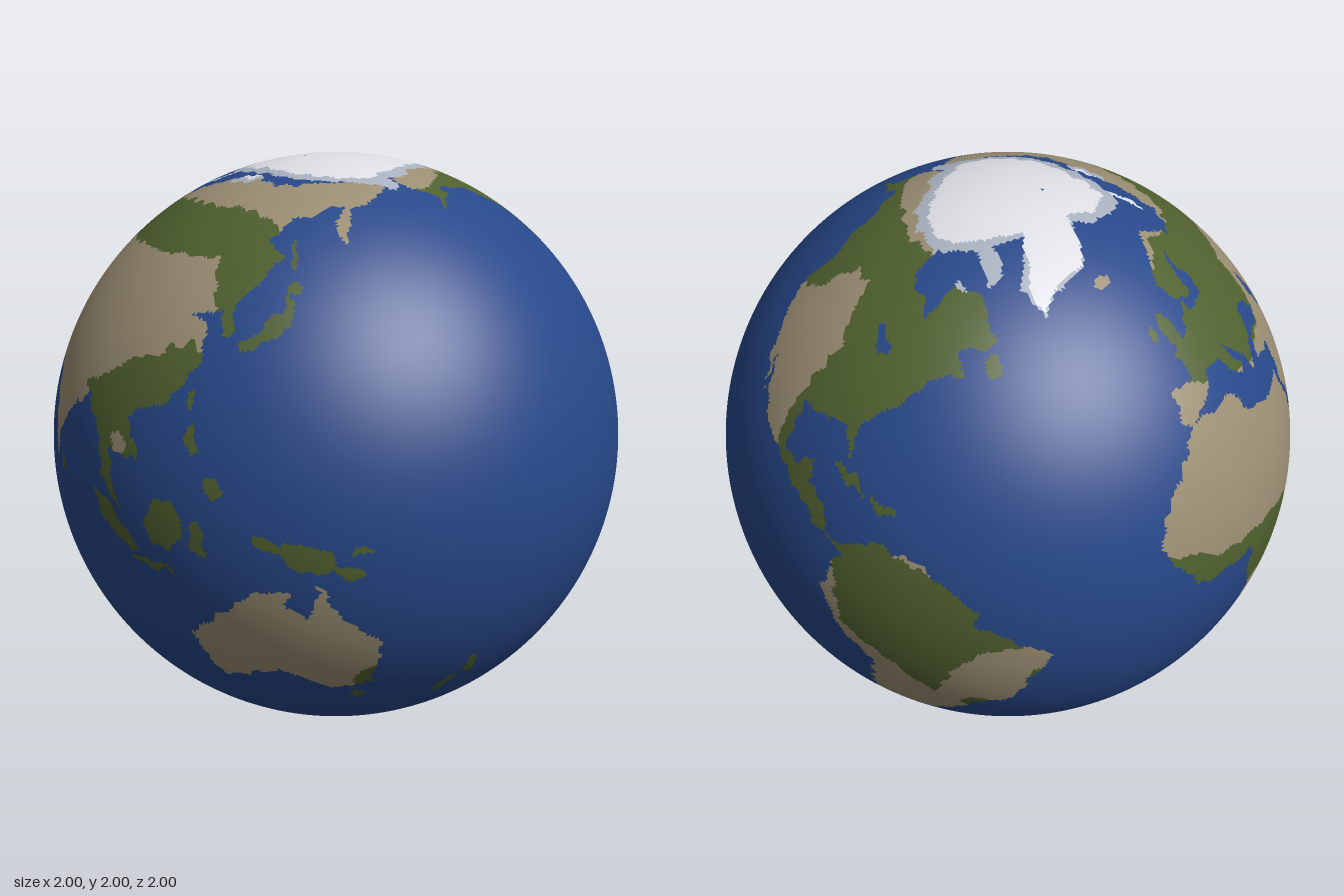
import * as THREE from 'three';

const mat = (name, color) => Object.assign(new THREE.MeshStandardMaterial({ color }), { name });
const SEA = mat('oceanBlue', 0x27488a);
const GREEN = mat('forestGreen', 0x50612f);
const TAN = mat('drylandTan', 0x9c8f74);
const WHITE = mat('iceWhite', 0xe0e2e8);
const GREY = mat('shelfIceGrey', 0xaab2c1);

// Painted in order; outlines are longitude, latitude pairs in degrees.
// A cover patch only recolours ground that is already land.
const patches = [];
const paint = (name, material, outline) => patches.push({ name, material, outline });
const cover = (name, material, outline) => patches.push({ name, material, outline, onLand: true });

// Oval outline, turned anticlockwise by some degrees
function oval(lon, lat, rx, ry, turn = 0) {
  const o = [], t = THREE.MathUtils.degToRad(turn);
  for (let i = 0; i < 16; i++) {
    const a = i * Math.PI / 8, x = rx * Math.cos(a), y = ry * Math.sin(a);
    o.push(lon + x * Math.cos(t) - y * Math.sin(t), lat + x * Math.sin(t) + y * Math.cos(t));
  }
  return o;
}

// Ring from a coast that runs west to east, closed over a pole
const polar = (coast, pole) => [...coast, 180, coast[1], 180, pole, -180, pole];

// --- Americas ---
paint('northAmerica', GREEN, [-167, 66, -156, 71, -128, 70, -95, 69, -93, 58, -82, 55, -79, 52, -77, 62, -65, 60,
  -56, 52, -66, 50, -62, 46, -70, 43, -76, 36, -81, 31, -80.5, 25, -84, 30, -97, 28, -96, 19, -91, 18.5, -88, 21.5,
  -88, 16, -83.5, 15, -82, 9, -77.5, 8.5, -78, 7, -85, 10, -95, 16, -105.5, 20.5, -113, 31, -109.5, 23, -117, 32.5,
  -124, 40, -124, 48, -135, 58, -148, 60.5, -162, 55, -158, 59, -165, 62]);
cover('westernDrylands', TAN, [-113, 20, -126, 41, -118, 43, -112, 52, -104, 52, -96, 41, -99, 28, -99, 16]);
cover('northwestTundra', TAN, [-170, 61, -130, 63.5, -92, 63, -92, 72, -170, 72]);
paint('baffinLand', GREY, [-88, 73, -68, 70, -61.5, 66, -65, 62.5, -74, 67, -88, 70]);
cover('northernSnow', GREY, [-106, 66, -79, 60, -64, 62, -64, 75, -124, 75]);
paint('greatLakes', SEA, oval(-86.5, 45.5, 4, 1.2, -30));

paint('southAmerica', TAN, [-77.5, 8.5, -72, 12, -62, 10.7, -51, 4, -50, 0, -35.3, -5.5, -39, -13.5, -41, -22,
  -48.5, -26, -57, -37.5, -65, -41, -69, -51, -66, -54.5, -74, -52, -73.5, -37, -70.3, -18.5, -76, -14, -81.3, -5, -80, 1]);
cover('amazonForest', GREEN, [-79, 3, -77, -10, -68, -15, -57, -24, -54, -14, -50, -7, -40, -3, -50, 8, -66, 10, -71, 13, -80, 13]);
cover('atlanticForest', GREEN, oval(-49, -26, 3.5, 2, 50));
cover('atlanticForest', GREEN, oval(-38, -14, 1.5, 4));
cover('southernForest', GREEN, oval(-74.5, -42, 2, 4));

// --- Africa ---
paint('africa', TAN, [-6, 35.8, 10, 37.3, 11, 33.5, 19.5, 30.5, 32, 31, 37, 21, 43, 11.7, 51, 11.8, 40, -3, 40.5, -15,
  35, -20, 32, -28, 26, -34, 19, -34.5, 12, -17.5, 13.5, -9, 9, -1, 9, 4, -8, 4.4, -17, 14.7, -16.5, 21, -10, 31]);
cover('congoForest', GREEN, [-18, 13.5, 0, 9, 20, 8, 28, 6, 31, 0, 30, -7, 8, -7, -8, 2]);
cover('highlandForest', GREEN, oval(36, 7, 1.6, 2));
paint('eastAfricanIsland', TAN, oval(46.7, -19, 2.2, 6.6, -20));
cover('eastAfricanIslandForest', GREEN, oval(48.8, -18, 1.4, 7, -20));

// --- Europe and Asia ---
paint('europe', TAN, [-9, 37, -9, 43, -1.5, 43.5, -4, 48.3, 8, 54, 10, 57.5, 11, 54.3, 20, 54.5, 24, 59.5, 22, 61,
  25, 65.5, 17.5, 61, 16, 56.5, 7, 58, 5, 61.5, 14, 67, 27, 71, 41, 67, 38, 64.5, 68, 68.5, 68, 41, 41.5, 41.5, 38, 46,
  31, 46, 28, 41.5, 23.5, 40, 22.5, 36.7, 19.5, 41.5, 13, 45.5, 18, 40, 16, 38, 10, 44, 3.5, 43, 0, 39, -5.5, 36]);
paint('asia', TAN, [60, 68, 73, 72, 104, 77, 130, 71.5, 160, 70, 190, 66, 178, 63, 163, 60, 157, 51, 156, 58, 163, 62,
  142, 59, 135, 54.5, 140, 50, 128, 40, 129, 35.5, 126, 35, 125, 39.5, 118, 39, 122, 37, 122, 30, 116, 23, 106, 20.5,
  109, 12, 100.5, 13.5, 103.5, 1.5, 98.5, 9, 97, 16.5, 91.5, 22.5, 80, 15, 77.5, 8, 72.5, 20, 67, 25, 56, 27, 48, 30,
  52, 25, 59.5, 22, 45, 13, 35, 28, 36, 36.5, 27, 37, 29, 41, 60, 42]);
paint('inlandSea', SEA, oval(51, 41.5, 2, 5, 15));
cover('borealForest', GREEN, [-4, 49, -2, 43, 20, 39, 42, 41, 49, 52, 76, 53, 120, 51, 126, 33, 131, 35, 143, 50,
  135, 60, 120, 64, 80, 66, 60, 65, 25, 68, 4, 62]);
cover('eastAsianForest', GREEN, [104, 30, 120, 34, 124, 30, 110, 8, 104, 1, 98, 5, 90, 24]);
cover('indochinaPlain', TAN, oval(103.5, 15, 2, 2));
cover('arcticCape', GREY, oval(97, 76, 20, 3));
cover('arcticCapeIce', WHITE, oval(97, 76.5, 12, 2));

// --- Australia ---
paint('australia', TAN, [142.5, -10.8, 146, -18, 153, -26, 150, -37.5, 141, -38, 131, -31.5, 115, -34.5, 114, -22,
  130, -12, 136.8, -12, 136, -15.5, 140, -17.5]);
cover('australianCoastForest', GREEN, oval(149.5, -36, 3, 5, -30));

// --- Green islands: longitude, latitude, half width, half height, turn ---
for (const o of [
  [-2, 53.5, 2.2, 4.2, 25], [-8, 53.3, 1.8, 1.7], [136, 35, 6, 1.4, 30], [141, 39, 1, 3], [143, 43.3, 2, 1.3],
  [142.8, 50, 0.8, 4], [101, 0, 7.5, 1.8, -47], [110, -7.2, 4.5, 0.8, -8], [114, 1, 4, 5, -30], [121, -1.5, 1.5, 3.5],
  [121, 16, 1.2, 3], [125, 8, 1.8, 2], [134, -2, 3, 1.3, -20], [141, -5.5, 5.5, 2.6, -22], [148, -9, 3, 0.9, -30],
  [150.5, -5.2, 2, 0.7, 20], [175.5, -38.5, 1.6, 3.2, 10], [170, -44, 1.4, 4, -40], [146.6, -42, 1.6, 1.4],
  [-79.5, 21.5, 5, 0.8, -20], [-71, 19, 2.7, 0.9], [81, 7.8, 0.9, 1.8], [121, 23.6, 0.7, 1.5], [-56, 48.6, 2.6, 1.6, -30],
]) paint('greenIslands', GREEN, oval(...o));
paint('northAtlanticIsland', TAN, oval(-18.7, 65, 4.5, 1.3));

// --- Polar ice ---
paint('arcticStrip', WHITE, oval(60, 74, 8, 1.3, 30));
const arcticCoast = [-180, 69.5, -142, 70.5, -115, 67.5, -95, 67, -78, 72, -60, 77, -20, 82, 9, 80.5, 50, 78.5,
  95, 80.5, 124, 78.5, 161, 73];
paint('arcticShelf', GREY, polar(arcticCoast.map((n, i) => (i % 2 ? n - 2.5 : n)), 90));
paint('arcticShelf', GREY, oval(-172, 67, 5, 3));
paint('greenland', GREY, [-70, 78, -56, 73.5, -53, 64, -43, 58.8, -39, 64, -24, 68.5, -20, 74, -15, 82, -60, 83]);
paint('greenlandIce', WHITE, [-64, 78, -52, 70, -49, 63, -43, 59.3, -39, 65, -25, 69, -20, 74, -16, 83, -60, 83]);
paint('arcticIce', WHITE, polar(arcticCoast, 90));
paint('antarctica', WHITE, polar([-180, -78, -158, -77, -140, -75, -100, -72.5, -68, -72, -67, -67, -57, -63.3, -61, -74,
  -45, -77.5, -12, -71.5, 50, -66.5, 70, -69, 88, -66.5, 135, -66, 170, -71.5, 165, -77], -90));
cover('antarcticShelf', GREY, oval(-167, -80.5, 14, 3.5));
cover('antarcticShelf', GREY, oval(-60, -77.5, 22, 3));

// Even-odd test of a point against an outline
function inside(o, x, y) {
  let hit = false;
  for (let i = 0, j = o.length - 2; i < o.length; j = i, i += 2) {
    if ((o[i + 1] > y) !== (o[j + 1] > y)
      && x < (o[j] - o[i]) * (y - o[i + 1]) / (o[j + 1] - o[i + 1]) + o[i]) hit = !hit;
  }
  return hit;
}

// Last patch that holds a point on the sphere; small waves roughen the coasts
function patchAt(p) {
  const { radToDeg } = THREE.MathUtils;
  const lat = radToDeg(Math.asin(p.y)) + 0.4 * Math.sin(47 * p.x + 3 * Math.sin(31 * p.z)) + 0.3 * Math.sin(90 * p.z);
  let lon = radToDeg(Math.atan2(-p.z, p.x)) - 79 + 0.4 * Math.sin(53 * p.y + 3 * Math.sin(29 * p.x)) + 0.3 * Math.sin(95 * p.y);
  if (lon < -180) lon += 360;
  let found = { name: 'ocean', material: SEA };
  for (const patch of patches) {
    if (patch.onLand && found.material === SEA) continue;
    if (inside(patch.outline, lon, lat) || inside(patch.outline, lon + 360, lat)) found = patch;
  }
  return found;
}

export function createModel() {
  const globe = new THREE.Group();
  globe.name = 'globe';

  // Sort the facets of one fine sphere into a mesh per region
  const pos = new THREE.IcosahedronGeometry(1, 84).attributes.position;
  const regions = new Map();
  const corners = [0, 1, 2].map(() => new THREE.Vector3());
  const centre = new THREE.Vector3();
  for (let i = 0; i < pos.count; i += 3) {
    centre.set(0, 0, 0);
    corners.forEach((v, k) => centre.add(v.fromBufferAttribute(pos, i + k)));
    const { name, material } = patchAt(centre.normalize());
    if (!regions.has(name)) regions.set(name, { material, points: [] });
    for (const v of corners) regions.get(name).points.push(v.x, v.y, v.z);
  }
  for (const [name, { material, points }] of regions) {
    const g = new THREE.BufferGeometry();
    g.setAttribute('position', new THREE.Float32BufferAttribute(points, 3));
    g.setAttribute('normal', new THREE.Float32BufferAttribute(points, 3)); // unit sphere: normal = position
    const mesh = new THREE.Mesh(g, material);
    mesh.name = name;
    globe.add(mesh);
  }

  // Lean the polar axis slightly and rest the globe on the ground
  globe.quaternion.setFromUnitVectors(new THREE.Vector3(0, 1, 0), new THREE.Vector3(-0.055, 0.99, -0.1).normalize());
  globe.position.y = 1;
  const model = new THREE.Group();
  model.add(globe);
  return model;
}
